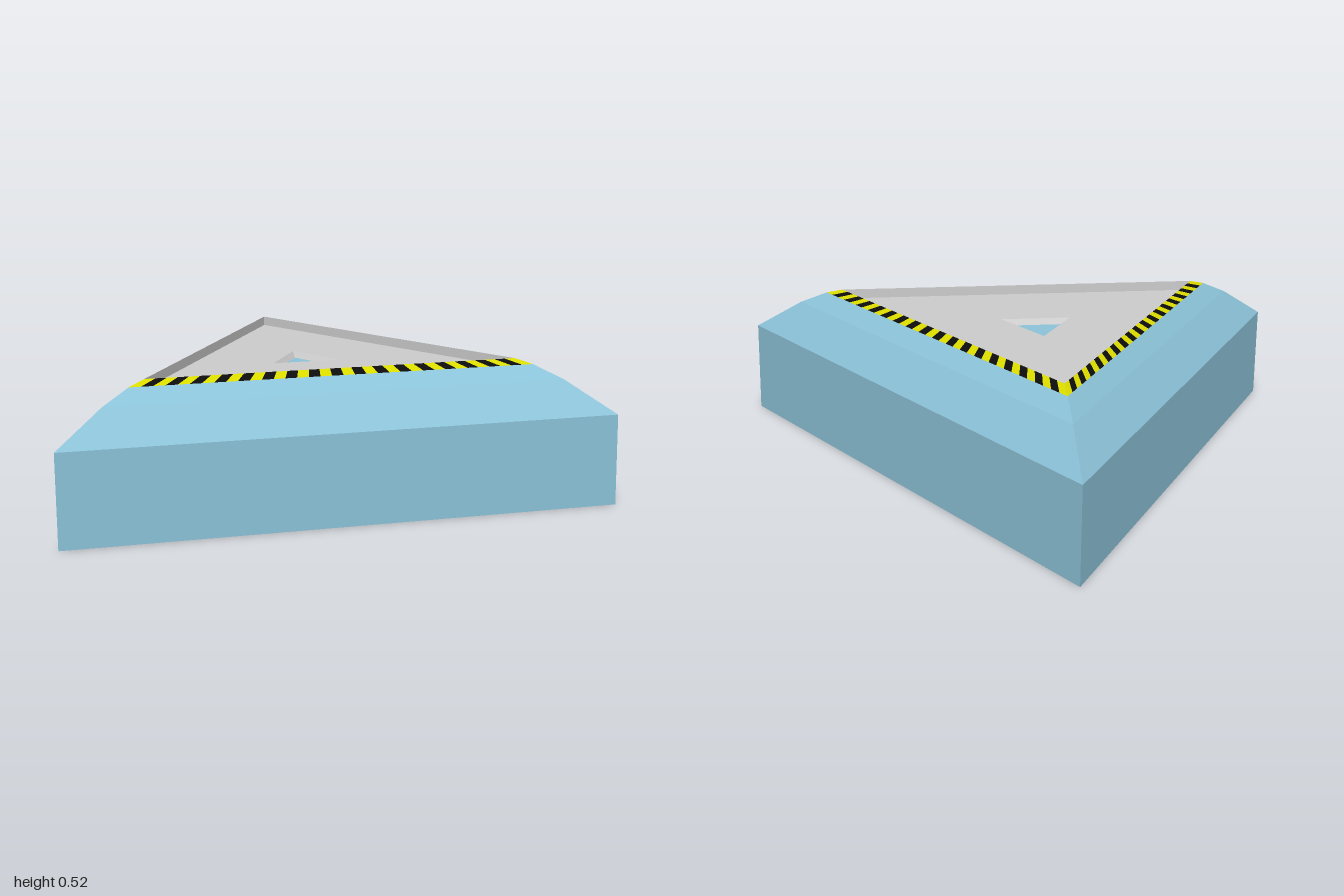
import * as THREE from 'three';

const CENTRE = -0.289; // x of the main triangle's centroid
const WELL = -0.316; // x of the small well's centroid

const flat = (name, color) => {
  const m = new THREE.MeshStandardMaterial({ color, flatShading: true, side: THREE.DoubleSide });
  m.name = name;
  return m;
};

// Corners of an equilateral triangle pointing to +x
const corners = (cx, r, y) => [0, 1, 2].map((i) => {
  const a = (i * Math.PI * 2) / 3;
  return new THREE.Vector3(cx + r * Math.cos(a), y, -r * Math.sin(a));
});

// Open three-sided band between two triangles
function band(cx, rTop, yTop, rBottom, yBottom) {
  const g = new THREE.CylinderGeometry(rTop, rBottom, yTop - yBottom, 3, 1, true, Math.PI / 2);
  return g.translate(cx, (yTop + yBottom) / 2, 0);
}

// Flat triangle facing up, with an optional triangular hole
function plate(cx, r, y, hole) {
  const outline = (c, rad) => corners(c, rad, 0).map((p) => new THREE.Vector2(p.x, -p.z));
  const shape = new THREE.Shape(outline(cx, r));
  if (hole) shape.holes.push(new THREE.Path(outline(hole.cx, hole.r).reverse()));
  return new THREE.ShapeGeometry(shape).rotateX(-Math.PI / 2).translate(0, y, 0);
}

// Every second segment of the sloping warning border
function stripes(parity, count) {
  const outer = corners(CENTRE, 0.843, 0.506);
  const inner = corners(CENTRE, 0.775, 0.525);
  const pos = [];
  for (let s = 0; s < 3; s++) {
    const at = (ring, t) => ring[s].clone().lerp(ring[(s + 1) % 3], t);
    for (let i = parity; i < count; i += 2) {
      const t0 = i / count, t1 = (i + 1) / count;
      const a = at(outer, t0), b = at(outer, t1), c = at(inner, t1), d = at(inner, t0);
      for (const p of [a, b, c, a, c, d]) pos.push(p.x, p.y, p.z);
    }
  }
  const g = new THREE.BufferGeometry();
  g.setAttribute('position', new THREE.Float32BufferAttribute(pos, 3));
  g.computeVertexNormals();
  return g;
}

export function createModel() {
  const blue = flat('pale blue', 0x8cc3d9);
  const grey = flat('light grey', 0xcccccc);
  const yellow = flat('warning yellow', 0xdada00);
  const black = flat('black', 0x0c0c0c);

  const model = new THREE.Group();
  model.name = 'triangularPlatform';
  const add = (name, geometry, material) => {
    const mesh = new THREE.Mesh(geometry, material);
    mesh.name = name;
    model.add(mesh);
  };

  // Hollow body: upright wall and two bevels
  add('wall', band(CENTRE, 1.155, 0.335, 1.155, 0), blue);
  add('lowerBevel', band(CENTRE, 0.957, 0.455, 1.155, 0.335), blue);
  add('upperBevel', band(CENTRE, 0.843, 0.506, 0.957, 0.455), blue);

  // Striped border
  add('yellowStripes', stripes(0, 35), yellow);
  add('blackStripes', stripes(1, 35), black);

  // Sunken deck with its edge
  add('deckEdge', band(CENTRE, 0.775, 0.525, 0.775, 0.49), grey);
  add('deck', plate(CENTRE, 0.775, 0.49, { cx: WELL, r: 0.145 }), grey);

  // Small well in the deck, on a hollow post reaching the ground
  add('wellRim', band(WELL, 0.145, 0.49, 0.113, 0.47), grey);
  add('wellFloor', plate(WELL, 0.113, 0.47), blue);
  add('post', band(WELL, 0.145, 0.489, 0.145, 0), blue);

  return model;
}
